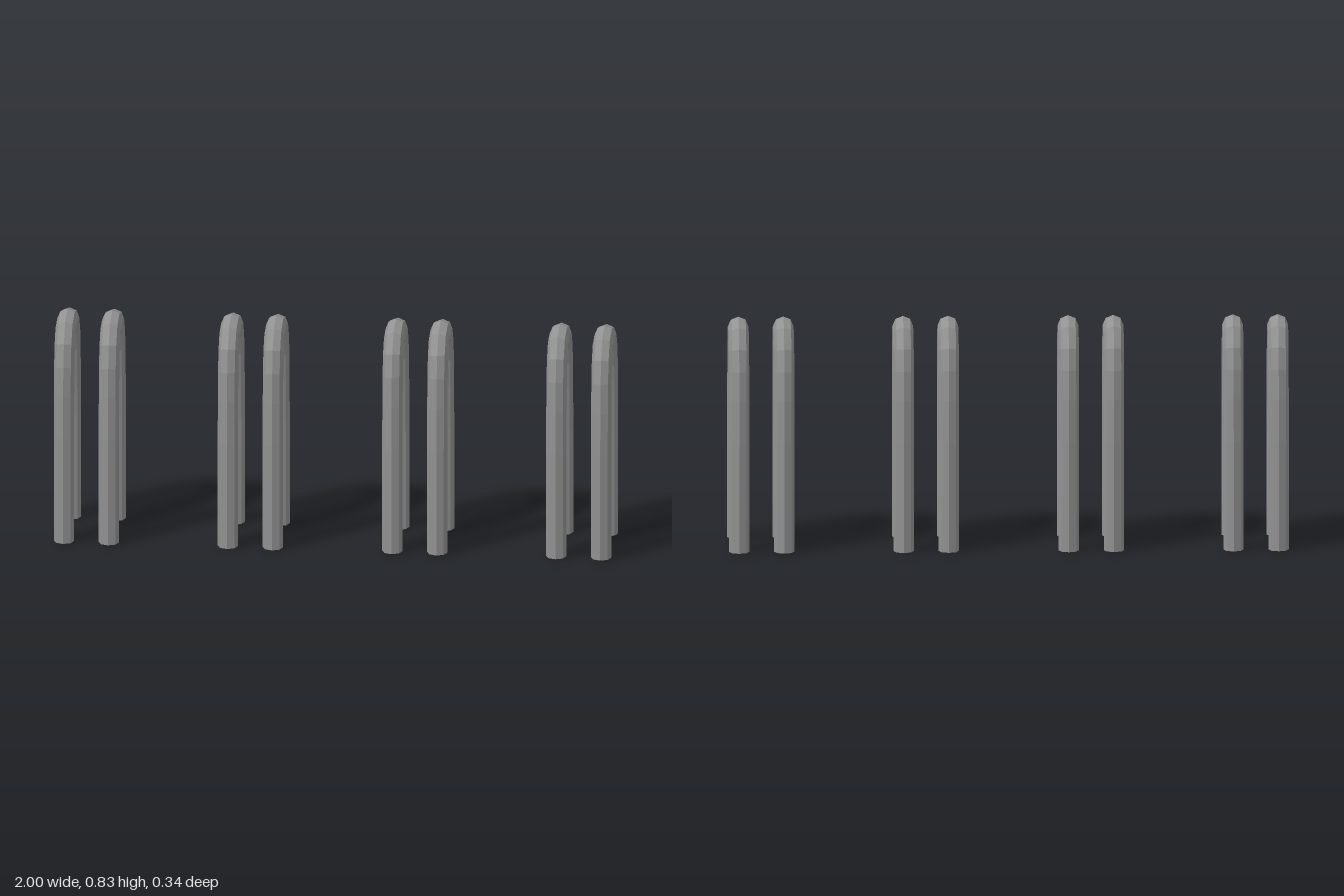
import * as THREE from 'three';

const SIDES = 8;
const RADIUS = 0.0365;

// Centre line of one hoop as [z, y], from the front foot over the top to the back foot
const PATH = [
  [0.132, 0], [0.132, 0.395], [0.127, 0.55], [0.119, 0.655], [0.101, 0.729], [0.065, 0.78],
  [0, 0.794],
  [-0.066, 0.777], [-0.101, 0.722], [-0.118, 0.652], [-0.126, 0.55], [-0.131, 0.395], [-0.132, 0],
].map(([z, y]) => new THREE.Vector3(0, y, z));

// Sweeps an octagon along the centre line and caps both feet
function hoopGeometry() {
  const positions = [];
  const indices = [];
  const last = PATH.length - 1;

  PATH.forEach((p, i) => {
    const dirIn = PATH[Math.max(i, 1)].clone().sub(PATH[Math.max(i, 1) - 1]).normalize();
    const dirOut = PATH[Math.min(i + 1, last)].clone().sub(PATH[Math.min(i, last - 1)]).normalize();
    const t = dirIn.add(dirOut).normalize();
    // Feet are cut level with the ground
    if (i === 0 || i === last) t.set(0, Math.sign(t.y), 0);
    for (let j = 0; j < SIDES; j++) {
      const a = (j / SIDES) * Math.PI * 2;
      const c = Math.cos(a) * RADIUS;
      const s = Math.sin(a) * RADIUS;
      positions.push(c, p.y + s * t.z, p.z - s * t.y);
    }
  });

  for (let i = 0; i < last; i++) {
    for (let j = 0; j < SIDES; j++) {
      const k = (j + 1) % SIDES;
      const a = i * SIDES + j, b = i * SIDES + k;
      const c = b + SIDES, d = a + SIDES;
      indices.push(a, b, c, a, c, d);
    }
  }

  // Foot caps
  const end = last * SIDES;
  for (let j = 1; j < SIDES - 1; j++) {
    indices.push(0, j + 1, j);
    indices.push(end, end + j, end + j + 1);
  }

  const geometry = new THREE.BufferGeometry();
  geometry.setAttribute('position', new THREE.Float32BufferAttribute(positions, 3));
  geometry.setIndex(indices);
  geometry.computeVertexNormals();
  return geometry;
}

export function createModel() {
  const model = new THREE.Group();
  model.name = 'bikeRacks';
  const material = new THREE.MeshStandardMaterial({ color: 0x929292, flatShading: true });
  const geometry = hoopGeometry();

  // Four racks in a row, each a pair of hoops
  [-0.883, -0.295, 0.295, 0.883].forEach((x, i) => {
    const rack = new THREE.Group();
    rack.name = `rack${i + 1}`;
    rack.position.x = x;
    for (const side of [-1, 1]) {
      const hoop = new THREE.Mesh(geometry, material);
      hoop.name = side < 0 ? 'rightHoop' : 'leftHoop';
      hoop.position.x = side * 0.0805;
      rack.add(hoop);
    }
    model.add(rack);
  });
  return model;
}
